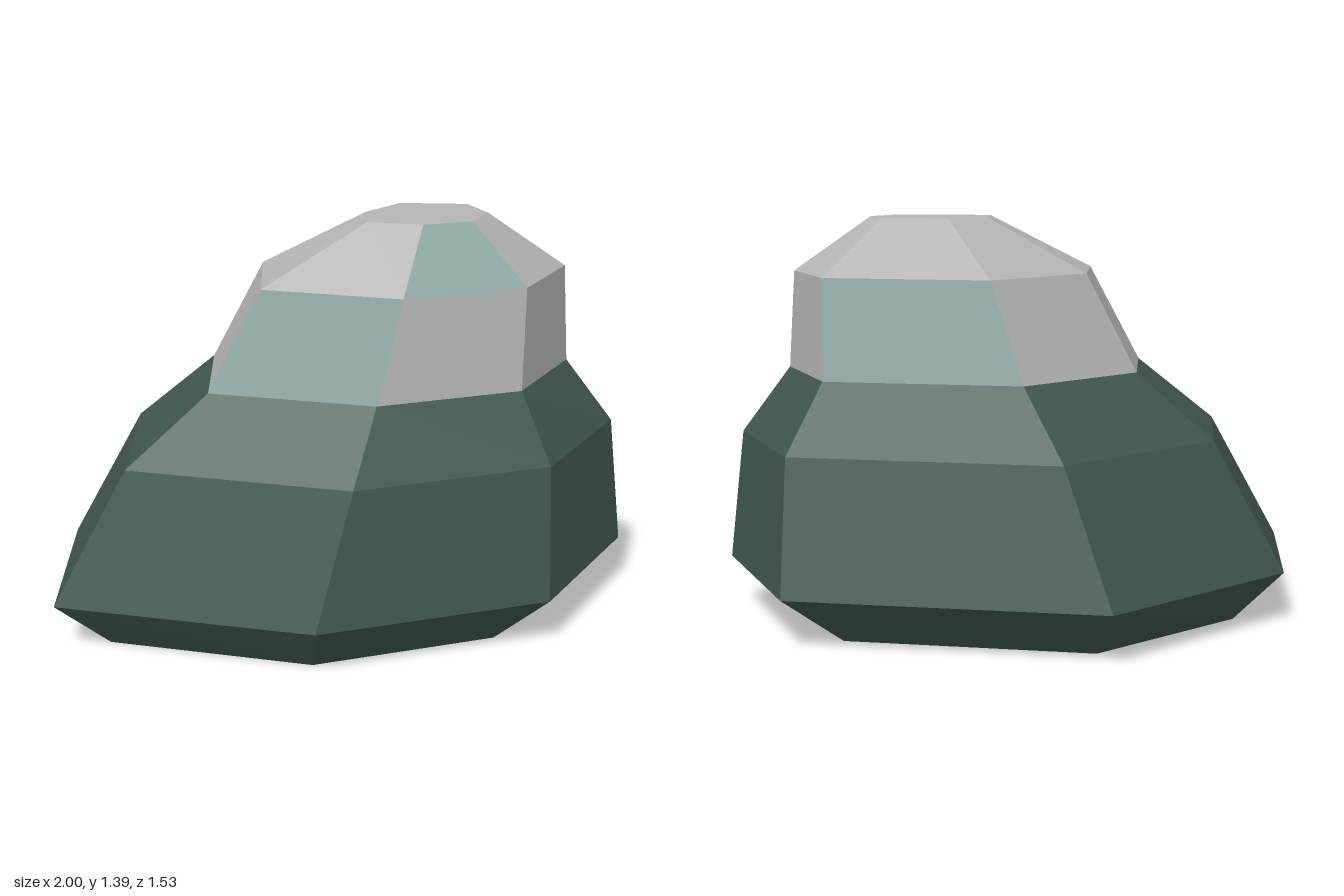
import * as THREE from 'three';

const mat = (name, color) => {
  const m = new THREE.MeshStandardMaterial({ color });
  m.name = name;
  return m;
};

// Seven-sided cross-sections: height, then x, z of each corner
const rings = [
  [0, [[-0.78, -0.14], [-0.29, -0.585], [0.55, -0.44], [0.75, 0.05], [0.48, 0.48], [-0.15, 0.63], [-0.82, 0.4]]],
  [0.175, [[-0.95, -0.18], [-0.335, -0.77], [0.74, -0.59], [1, 0.065], [0.65, 0.58], [-0.15, 0.765], [-1, 0.48]]],
  [0.63, [[-0.705, -0.14], [-0.18, -0.64], [0.73, -0.48], [0.95, 0.07], [0.65, 0.51], [-0.02, 0.67], [-0.75, 0.42]]],
  [0.86, [[-0.44, -0.08], [-0.05, -0.445], [0.62, -0.335], [0.78, 0.075], [0.565, 0.4], [0.07, 0.515], [-0.47, 0.335]]],
  [1.2, [[-0.265, -0.055], [0.06, -0.365], [0.625, -0.265], [0.76, 0.08], [0.58, 0.355], [0.16, 0.455], [-0.29, 0.3]]],
  [1.39, [[0.08, 0.035], [0.21, -0.085], [0.44, -0.05], [0.49, 0.085], [0.42, 0.2], [0.25, 0.235], [0.07, 0.18]]],
].map(([y, pts]) => pts.map(([x, z]) => new THREE.Vector3(x, y, z)));

// Quad on one side of the band between two cross-sections
function side(band, i) {
  const j = (i + 1) % 7;
  const [lo, hi] = [rings[band], rings[band + 1]];
  return [lo[i], hi[i], hi[j], lo[i], hi[j], lo[j]];
}

// Flat fan closing a cross-section
function cap(ring, up) {
  const out = [];
  for (let i = 1; i < 6; i++) out.push(ring[0], ring[up ? i + 1 : i], ring[up ? i : i + 1]);
  return out;
}

function facetMesh(name, points, material) {
  const geo = new THREE.BufferGeometry().setFromPoints(points);
  geo.computeVertexNormals();
  const mesh = new THREE.Mesh(geo, material);
  mesh.name = name;
  return mesh;
}

export function createModel() {
  const group = new THREE.Group();
  group.name = 'boulder';
  const base = cap(rings[0], false);
  const grey = cap(rings[5], true);
  const tinted = [];
  const tintedSides = { 3: [1, 5], 4: [4] };

  for (let band = 0; band < 5; band++) {
    for (let i = 0; i < 7; i++) {
      const target = band < 3 ? base : tintedSides[band].includes(i) ? tinted : grey;
      target.push(...side(band, i));
    }
  }

  group.add(
    facetMesh('mossyBase', base, mat('dark green', 0x40584e)),
    facetMesh('stoneTop', grey, mat('pale grey', 0xb3b6b5)),
    facetMesh('tintedFacets', tinted, mat('grey teal', 0x8ba5a1)),
  );
  return group;
}
